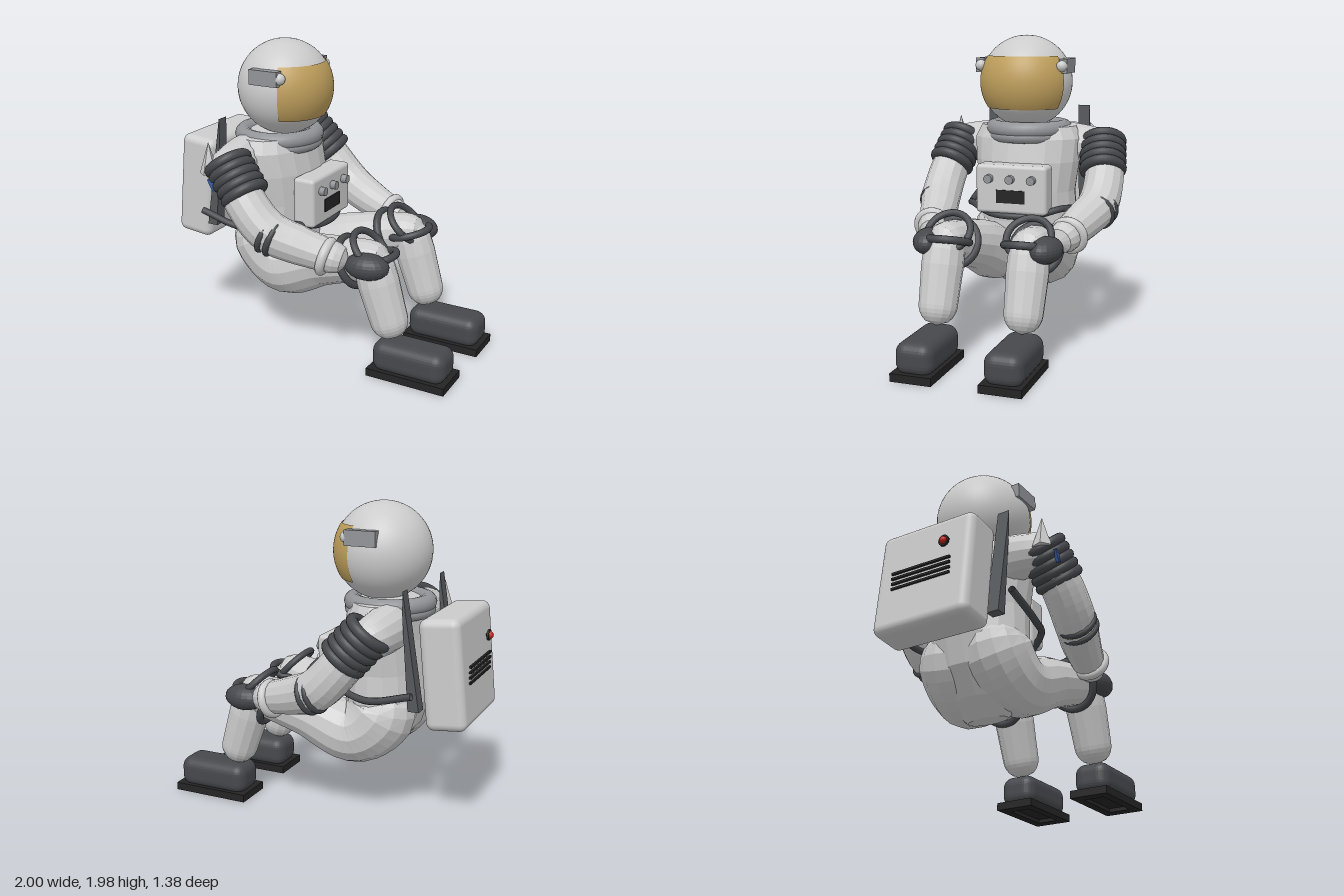
import * as THREE from 'three';
import { RoundedBoxGeometry } from 'three/addons/geometries/RoundedBoxGeometry.js';

const V = (x, y, z) => new THREE.Vector3(x, y, z);
const mat = (color, flatShading = false) =>
  new THREE.MeshStandardMaterial({ color, flatShading, side: THREE.DoubleSide });

export function createModel() {
  const root = new THREE.Group();
  const suit = mat(0xcccccc, true), shell = mat(0xcccccc), neckGrey = mat(0x929498);
  const dark = mat(0x46484c), darkFlat = mat(0x46484c, true), black = mat(0x242424);
  const strapGrey = mat(0x55585c), gold = mat(0xbf9f5c), red = mat(0xc0261c);
  const blue = mat(0x3a5fa8);

  function add(name, geometry, material, x = 0, y = 0, z = 0) {
    const mesh = new THREE.Mesh(geometry, material);
    mesh.name = name;
    mesh.position.set(x, y, z);
    root.add(mesh);
    return mesh;
  }

  // Torus whose axis points along dir
  function ring(name, material, centre, dir, R, tube) {
    const mesh = add(name, new THREE.TorusGeometry(R, tube, 12, 32), material, ...centre.toArray());
    mesh.quaternion.setFromUnitVectors(V(0, 0, 1), dir.clone().normalize());
    return mesh;
  }

  const box = (w, h, d) => new THREE.BoxGeometry(w, h, d);
  const ball = (r) => new THREE.SphereGeometry(r, 20, 14);
  const tube = (points, r) =>
    new THREE.TubeGeometry(new THREE.CatmullRomCurve3(points), 60, r, 10);

  // Limb with varying radius and rounded ends; each stop is [x, y, z, radius]
  function limb(name, stops, material, sides = 14, rows = 24) {
    const curve = new THREE.CatmullRomCurve3(stops.map((s) => V(s[0], s[1], s[2])));
    const length = curve.getLength();
    const geometry = new THREE.TubeGeometry(curve, rows, 1, sides);
    const pos = geometry.attributes.position, p = V(0, 0, 0);
    for (let i = 0; i <= rows; i++) {
      const u = i / rows, c = curve.getPointAt(u);
      const t = curve.getUtoTmapping(u) * (stops.length - 1);
      const k = Math.min(Math.floor(t), stops.length - 2);
      let r = THREE.MathUtils.lerp(stops[k][3], stops[k + 1][3], t - k);
      const end = Math.min(1, (Math.min(u, 1 - u) * length) / r);
      r *= Math.sqrt(Math.max(0, 1 - (1 - end) ** 2));
      for (let j = 0; j <= sides; j++) {
        const n = i * (sides + 1) + j;
        p.fromBufferAttribute(pos, n).sub(c).multiplyScalar(r).add(c);
        pos.setXYZ(n, p.x, p.y, p.z);
      }
    }
    geometry.computeVertexNormals();
    return add(name, geometry, material);
  }

  // Torso: elliptical sections [y, centre x, half depth, half width]
  const sections = [
    [0.32, -0.25, 0, 0], [0.325, -0.25, 0.06, 0.14], [0.42, -0.27, 0.18, 0.25],
    [0.58, -0.34, 0.24, 0.31], [0.75, -0.375, 0.26, 0.34], [0.95, -0.36, 0.265, 0.33],
    [1.15, -0.355, 0.255, 0.36], [1.3, -0.37, 0.24, 0.37], [1.38, -0.375, 0.21, 0.33],
    [1.41, -0.375, 0, 0],
  ];
  const torso = new THREE.LatheGeometry(sections.map((s, i) => new THREE.Vector2(1, i)), 18);
  const tp = torso.attributes.position;
  for (let i = 0; i < tp.count; i++) {
    const [y, cx, rx, rz] = sections[Math.round(tp.getY(i))];
    tp.setXYZ(i, cx + rx * tp.getX(i), y, rz * tp.getZ(i));
  }
  torso.computeVertexNormals();
  add('torso', torso, suit);

  // Helmet, visor and collar
  add('helmet', new THREE.SphereGeometry(0.305, 48, 32), shell, -0.325, 1.672, 0);
  add('visor', new THREE.SphereGeometry(0.311, 36, 18, Math.PI - 1.19, 2.38, 0.985, 1.17),
    gold, -0.325, 1.672, 0);
  ring('upperCollar', neckGrey, V(-0.375, 1.36, 0), V(0, 1, 0), 0.235, 0.055);
  ring('lowerCollar', neckGrey, V(-0.375, 1.315, 0), V(0, 1, 0), 0.245, 0.04);

  // Backpack with button and vents
  add('backpack', new RoundedBoxGeometry(0.255, 0.68, 0.66, 4, 0.05), shell, -0.83, 1.005, 0)
    .rotation.z = -0.1;
  const disc = add('buttonBase', new THREE.CylinderGeometry(0.035, 0.035, 0.012, 20), black, -0.967, 1.165, 0.16);
  disc.rotation.z = Math.PI / 2;
  add('backpackButton', ball(0.024), red, -0.972, 1.165, 0.16);
  for (let i = 0; i < 4; i++)
    add('vent', box(0.014, 0.014, 0.41), black, -0.968, 1.05 - i * 0.033, 0);

  // Chest control box
  add('chestBox', new RoundedBoxGeometry(0.15, 0.32, 0.48, 3, 0.025), shell, -0.06, 0.99, 0);
  add('chestScreen', box(0.02, 0.085, 0.195), black, 0.012, 0.945, 0);
  for (const z of [-0.145, 0, 0.145]) {
    const knob = add('knob', new THREE.CylinderGeometry(0.028, 0.028, 0.05, 18), neckGrey, 0.028, 1.06, z);
    knob.rotation.z = Math.PI / 2;
  }
  add('sideButton', ball(0.02), red, -0.56, 1.0, 0.25);

  // Hose around the waist
  const hose = [V(-0.69, 0.9, 0.44), V(-0.4, 0.83, 0.42), V(-0.14, 0.86, 0.31), V(-0.02, 0.82, 0.13)];
  const mirrored = hose.map((p) => V(p.x, p.y, -p.z)).reverse();
  add('waistHose', tube([...hose, ...mirrored], 0.022), dark);

  // Shoulder strap profile
  const strap = new THREE.Shape([[-0.595, 1.5], [-0.71, 0.78], [-0.64, 0.78], [-0.595, 1.37]]
    .map((p) => new THREE.Vector2(...p)));
  const strapGeometry = new THREE.ExtrudeGeometry(strap, { depth: 0.08, bevelEnabled: false });

  // Sole rim with an open recess below
  const rim = new THREE.Shape([[-0.26, -0.13], [0.26, -0.13], [0.26, 0.13], [-0.26, 0.13]]
    .map((p) => new THREE.Vector2(...p)));
  rim.holes.push(new THREE.Path([[-0.18, -0.07], [-0.18, 0.07], [0.18, 0.07], [0.18, -0.07]]
    .map((p) => new THREE.Vector2(...p))));
  const rimGeometry = new THREE.ExtrudeGeometry(rim, { depth: 0.025, bevelEnabled: false })
    .rotateX(-Math.PI / 2);

  for (const s of [1, -1]) {
    // Helmet lamps and strap
    add('lampHousing', box(0.2, 0.095, 0.055), neckGrey, -0.297, 1.78, s * 0.285);
    add('lamp', ball(0.036), shell, -0.195, 1.78, s * 0.278);
    add('shoulderStrap', strapGeometry, strapGrey, 0, 0, s * 0.325 - 0.04);

    // Shoulder yoke running into the sleeve
    limb('shoulder', [[-0.45, 1.25, s * 0.1, 0.15], [-0.46, 1.245, s * 0.3, 0.145],
      [-0.45, 1.235, s * 0.46, 0.13], [-0.42, 1.22, s * 0.6, 0.11]], suit);

    // Arm
    limb('arm', [[-0.46, 1.29, s * 0.48, 0.1], [-0.38, 1.19, s * 0.52, 0.125],
      [-0.27, 1.04, s * 0.55, 0.13], [-0.13, 0.9, s * 0.545, 0.132],
      [0.05, 0.825, s * 0.49, 0.122], [0.36, 0.74, s * 0.41, 0.09]], suit);
    for (let i = 0; i < 5; i++) {
      const t = i / 4;
      ring('shoulderRing', dark, V(-0.44 + 0.14 * t, 1.27 - 0.16 * t, s * (0.5 + 0.035 * t)),
        V(0.6, -0.75, s * 0.18), 0.122, 0.034);
    }
    for (const d of [0, 0.05])
      ring('elbowRing', dark, V(-0.13 + d, 0.885 - d * 0.4, s * (0.555 - d * 0.2)),
        V(0.9, -0.35, -s * 0.1), 0.11, 0.02);
    ring('cuff', shell, V(0.225, 0.77, s * 0.455), V(0.95, -0.26, -s * 0.15), 0.094, 0.03);
    const hand = add('glove', ball(1), darkFlat, 0.465, 0.725, s * 0.38);
    hand.scale.set(0.14, 0.082, 0.095);
    hand.rotation.y = s * 0.15;

    // Leg, with the hip bending out of the waist
    limb('thigh', [[-0.41, 0.88, s * 0.13, 0.19], [-0.39, 0.68, s * 0.15, 0.225],
      [-0.22, 0.54, s * 0.18, 0.205], [0.08, 0.635, s * 0.225, 0.165],
      [0.35, 0.705, s * 0.265, 0.135], [0.56, 0.75, s * 0.275, 0.11]], suit, 14, 30);
    limb('shin', [[0.43, 0.8, s * 0.27, 0.12], [0.495, 0.59, s * 0.275, 0.132],
      [0.61, 0.235, s * 0.275, 0.115]], suit);
    ring('thighRing', dark, V(0.31, 0.69, s * 0.27), V(0.9, 0.42, 0), 0.155, 0.024);
    ring('kneeRing', dark, V(0.43, 0.785, s * 0.26), V(0.72, 0.7, 0), 0.14, 0.022);
    ring('kneeRing', dark, V(0.46, 0.735, s * 0.25), V(-0.28, 0.96, 0), 0.13, 0.024);

    // Boot
    add('boot', new RoundedBoxGeometry(0.485, 0.2, 0.24, 4, 0.07), darkFlat, 0.74, 0.13, s * 0.275);
    add('sole', box(0.52, 0.025, 0.26), black, 0.74, 0.0375, s * 0.275);
    add('soleRim', rimGeometry, black, 0.74, 0, s * 0.275);
  }

  // Patch under the shoulder rings and the fold above the sleeve
  add('armPatch', box(0.18, 0.08, 0.02), blue, -0.41, 1.2, 0.622).rotation.z = 0.5;
  add('shoulderFold', new THREE.ConeGeometry(0.06, 0.2, 5), suit, -0.54, 1.31, 0.56);

  return root;
}
